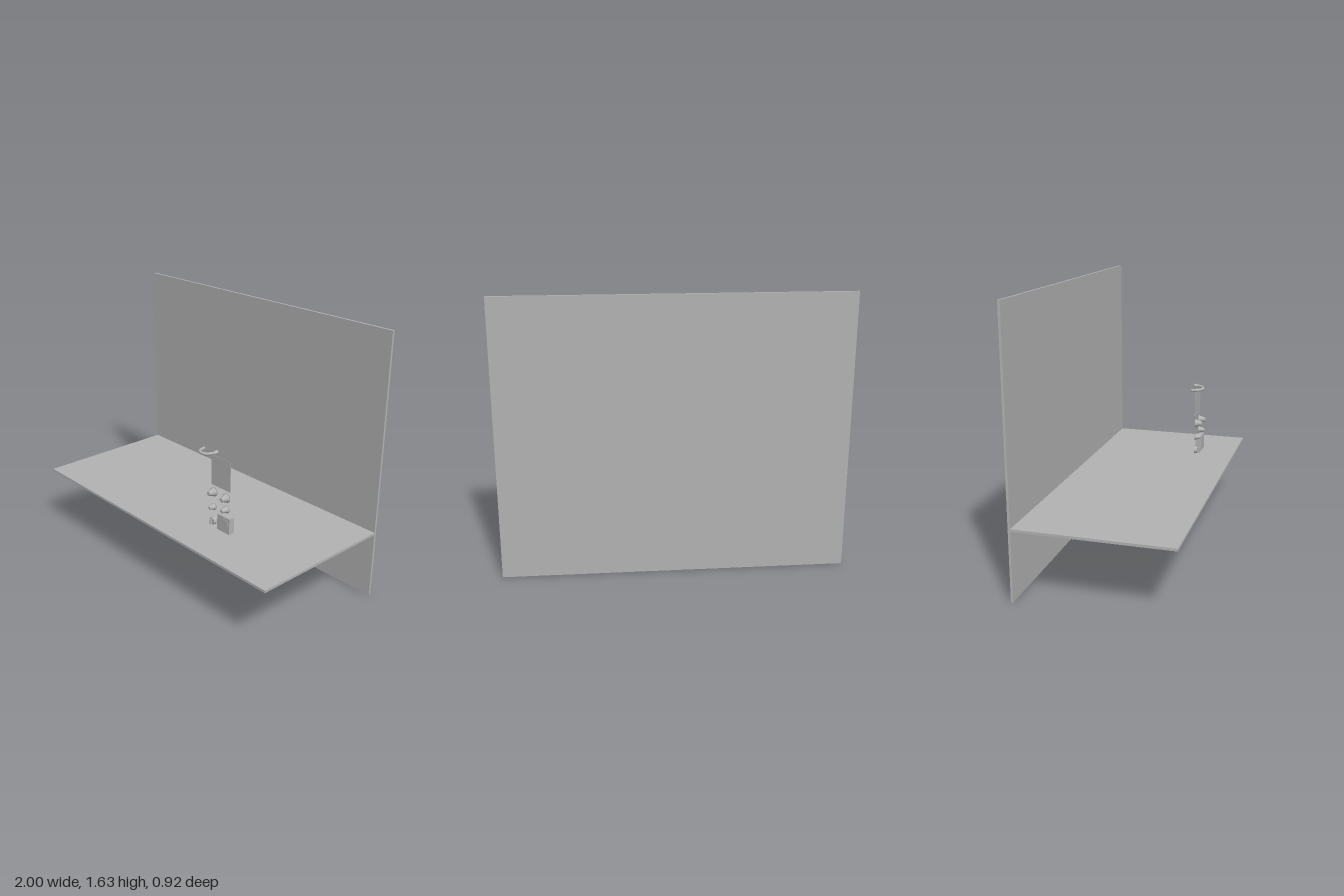
import * as THREE from 'three';

export function createModel() {
  const model = new THREE.Group();
  const grey = new THREE.MeshStandardMaterial({ color: 0xb2b2b2 });
  grey.name = 'plain grey';

  const add = (name, geometry, x, y, z) => {
    const mesh = new THREE.Mesh(geometry, grey);
    mesh.name = name;
    mesh.position.set(x, y, z);
    model.add(mesh);
    return mesh;
  };

  // Wall and the shelf that projects from it
  add('backWall', new THREE.BoxGeometry(2, 1.633, 0.014), 0, 0.8165, -0.455);
  add('shelf', new THREE.BoxGeometry(2, 0.015, 0.91), 0, 0.419, 0.007);

  // Thin control panel with softened corners
  const w = 0.0775, h = 0.092, r = 0.006;
  const outline = new THREE.Shape();
  outline.absarc(w - r, h - r, r, 0, Math.PI / 2);
  outline.absarc(-w + r, h - r, r, Math.PI / 2, Math.PI);
  outline.absarc(-w + r, -h + r, r, Math.PI, Math.PI * 1.5);
  outline.absarc(w - r, -h + r, r, Math.PI * 1.5, Math.PI * 2);
  add('panel', new THREE.ExtrudeGeometry(outline, { depth: 0.002, bevelEnabled: false, curveSegments: 4 }),
    0.4305, 0.825, 0.243);

  // Flared knobs turned about z, with a dished cap
  const knob = (name, x, y, radius, depth) => {
    const profile = [
      [0, 0], [1, 0], [1, 0.1], [0.78, 0.24], [0.68, 0.5], [0.55, 0.7],
      [0.48, 0.94], [0.4, 1], [0.3, 0.95], [0, 0.95],
    ].map(([a, b]) => new THREE.Vector2(a * radius, b * depth));
    const geometry = new THREE.LatheGeometry(profile, 24);
    geometry.rotateX(Math.PI / 2);
    add(name, geometry, x, y, 0.243);
  };
  knob('upperRightKnob', 0.373, 0.69, 0.028, 0.045);
  knob('upperLeftKnob', 0.478, 0.69, 0.028, 0.045);
  knob('middleLeftKnob', 0.479, 0.618, 0.023, 0.042);
  knob('middleRightKnob', 0.374, 0.597, 0.021, 0.038);

  // Round selector with a grip bar
  const disc = new THREE.CylinderGeometry(0.021, 0.024, 0.018, 24).rotateX(Math.PI / 2);
  add('selectorBase', disc, 0.375, 0.508, 0.252);
  add('selectorGrip', new THREE.BoxGeometry(0.007, 0.032, 0.016), 0.375, 0.508, 0.268);

  // Meter box with a domed dial window and needle
  add('meterBox', new THREE.BoxGeometry(0.099, 0.099, 0.038), 0.481, 0.533, 0.252);
  const dial = new THREE.Shape();
  dial.moveTo(-0.034, -0.022);
  dial.bezierCurveTo(-0.052, 0.014, -0.026, 0.04, 0, 0.04);
  dial.bezierCurveTo(0.026, 0.04, 0.052, 0.014, 0.034, -0.022);
  dial.quadraticCurveTo(0.018, -0.012, 0, -0.012);
  dial.quadraticCurveTo(-0.018, -0.012, -0.034, -0.022);
  add('meterDial', new THREE.ExtrudeGeometry(dial, { depth: 0.003, bevelEnabled: false }), 0.481, 0.535, 0.27);
  const needle = add('meterNeedle', new THREE.BoxGeometry(0.002, 0.034, 0.002), 0.488, 0.541, 0.273);
  needle.rotation.z = -0.4;

  // Curved lever above the panel, thick at its pivot
  const path = new THREE.CatmullRomCurve3([
    [0.281, 0.929, 0.236], [0.287, 0.929, 0.267], [0.306, 0.93, 0.29],
    [0.334, 0.932, 0.298], [0.362, 0.934, 0.288], [0.38, 0.936, 0.266], [0.384, 0.936, 0.24],
  ].map((p) => new THREE.Vector3(...p)));
  add('lever', new THREE.TubeGeometry(path, 32, 0.009, 10), 0, 0, 0);
  add('leverTip', new THREE.SphereGeometry(0.009, 12, 8), 0.281, 0.929, 0.239);
  add('leverPivot', new THREE.CylinderGeometry(0.009, 0.013, 0.022, 16).rotateX(Math.PI / 2), 0.384, 0.936, 0.244);

  return model;
}
